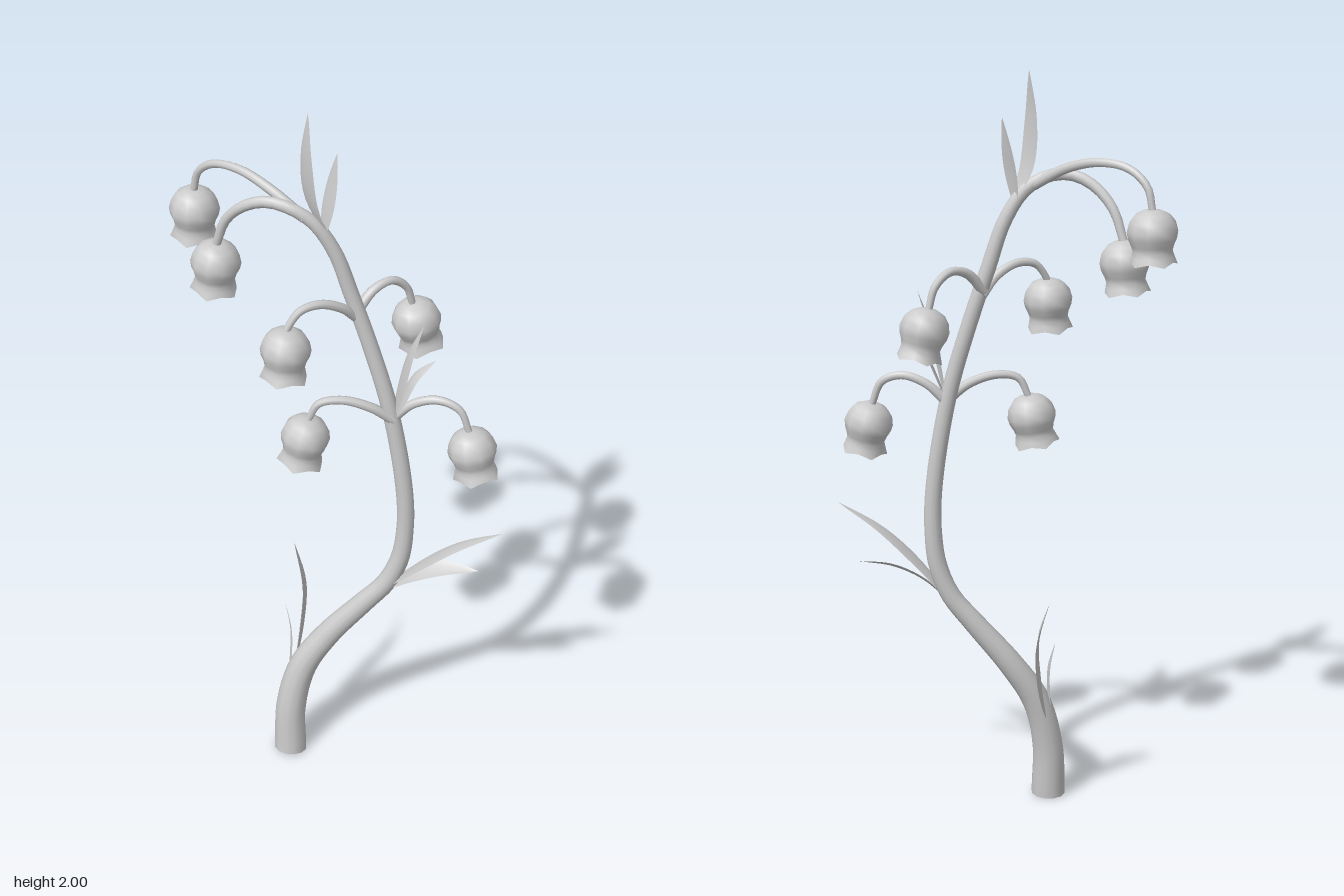
import * as THREE from 'three';
import { mergeGeometries, mergeVertices } from 'three/addons/utils/BufferGeometryUtils.js';

const material = new THREE.MeshStandardMaterial({ color: 0xcccccc, side: THREE.DoubleSide });
const V = (p) => new THREE.Vector3(...p);
const curveOf = (points) => new THREE.CatmullRomCurve3(points.map(V), false, 'centripetal');

function addMesh(parent, name, geometry) {
  const mesh = new THREE.Mesh(geometry, material);
  mesh.name = name;
  parent.add(mesh);
  return mesh;
}

// Linear interpolation through [t, value] stops
function sample(stops, t) {
  let i = 1;
  while (i < stops.length - 1 && t > stops[i][0]) i++;
  const [t0, a] = stops[i - 1], [t1, b] = stops[i];
  return THREE.MathUtils.mapLinear(t, t0, t1, a, b);
}

// Tube whose radius follows the stops; zScale flattens its section
function taperedTube(points, stops, segments, sides, zScale = 1) {
  const curve = curveOf(points);
  const geometry = new THREE.TubeGeometry(curve, segments, 1, sides);
  const pos = geometry.attributes.position, v = new THREE.Vector3();
  for (let i = 0; i < pos.count; i++) {
    const t = Math.floor(i / (sides + 1)) / segments;
    const c = curve.getPointAt(t);
    v.fromBufferAttribute(pos, i).sub(c).multiplyScalar(sample(stops, t));
    v.z *= zScale;
    v.add(c);
    pos.setXYZ(i, v.x, v.y, v.z);
  }
  return geometry;
}

// Pointed blade: three vertices across, swept along a curve, slightly cupped
function leafGeometry(points, across, width) {
  const curve = curveOf(points), rows = 14, pos = [], index = [];
  const side = V(across).normalize();
  for (let i = 0; i <= rows; i++) {
    const t = i / rows, c = curve.getPointAt(t);
    const half = 0.5 * width * Math.pow(Math.sin(Math.PI * Math.pow(t, 0.85)), 0.9) + 0.004 * (1 - t);
    const cup = curve.getTangentAt(t).cross(side).normalize().multiplyScalar(half * 0.2);
    for (const s of [-1, 0, 1]) {
      const p = c.clone().addScaledVector(side, s * half);
      if (s !== 0) p.add(cup);
      pos.push(p.x, p.y, p.z);
    }
    if (i < rows) {
      for (let k = 0; k < 2; k++) {
        const a = i * 3 + k;
        index.push(a, a + 1, a + 3, a + 1, a + 4, a + 3);
      }
    }
  }
  const geometry = new THREE.BufferGeometry();
  geometry.setAttribute('position', new THREE.Float32BufferAttribute(pos, 3));
  geometry.setIndex(index);
  geometry.computeVertexNormals();
  return geometry;
}

// Ten-sided turned surface whose lower rim waves into five soft points, welded smooth
function wavyLathe(profile) {
  const lathe = new THREE.LatheGeometry(profile.map(([x, y]) => new THREE.Vector2(x, y)), 10);
  lathe.deleteAttribute('normal');
  lathe.deleteAttribute('uv');
  const geometry = mergeVertices(lathe, 1e-5);
  const pos = geometry.attributes.position;
  for (let i = 0; i < pos.count; i++) {
    const x = pos.getX(i), y = pos.getY(i), z = pos.getZ(i);
    const flare = Math.max(0, (-0.1 - y) / 0.03) * Math.min(1, Math.hypot(x, z) / 0.05);
    const wave = Math.cos(5 * Math.atan2(x, z)) * flare;
    pos.setXYZ(i, x * (1 + 0.06 * wave), y - 0.004 * wave, z * (1 + 0.06 * wave));
  }
  geometry.computeVertexNormals();
  return geometry;
}

// Hanging bell, top at the origin, closed below by a flat floor
function bellGeometry() {
  const rim = [0.059, -0.13];
  const body = wavyLathe([rim, [0.054, -0.114], [0.05, -0.101], [0.053, -0.088], [0.061, -0.07],
    [0.064, -0.052], [0.058, -0.028], [0.044, -0.01], [0.024, 0], [0, 0.002]]);
  return mergeGeometries([body, wavyLathe([[0, -0.128], rim])]);
}

export function createModel() {
  const model = new THREE.Group();
  model.name = 'bellFlowerSprig';

  // Main stem, curling over into the lowest of the two tip flowers
  const stem = [[-0.103, 0, 0.112], [-0.103, 0.15, 0.1], [-0.074, 0.29, 0.077], [-0.01, 0.4, 0.05],
    [0.085, 0.52, 0.025], [0.147, 0.6, 0.012], [0.181, 0.69, 0.004], [0.191, 0.79, 0], [0.19, 0.87, 0],
    [0.175, 1.0, 0], [0.14, 1.18, 0], [0.09, 1.35, 0], [0.04, 1.5, 0.004], [0, 1.62, 0.013], [-0.05, 1.7, 0.025],
    [-0.11, 1.737, 0.034], [-0.17, 1.742, 0.032], [-0.23, 1.715, 0.027], [-0.28, 1.66, 0.015], [-0.307, 1.585, 0.007]];
  addMesh(model, 'stem', taperedTube(stem,
    [[0, 0.047], [0.13, 0.039], [0.3, 0.027], [0.4, 0.024], [0.75, 0.02], [0.88, 0.016], [1, 0.011]], 80, 12, 0.85));
  const base = addMesh(model, 'stemBase', new THREE.CircleGeometry(0.047, 12));
  base.rotation.x = Math.PI / 2;
  base.position.set(-0.103, 0.001, 0.112);
  base.scale.y = 0.85;

  // Flower stalks; the last point is where the bell hangs, lean is its tilt in x and z
  const flowers = [
    { lean: [-0.003, 0], path: [[-0.07, 1.712, 0.03], [-0.16, 1.762, 0.008], [-0.25, 1.785, -0.025],
      [-0.33, 1.775, -0.052], [-0.377, 1.735, -0.068], [-0.391, 1.68, -0.073]] },
    { lean: [-0.01, 0], path: [stem.at(-1)] },
    { lean: [-0.004, 0.012], path: [[0.055, 1.43, 0], [0.025, 1.475, 0.035], [-0.02, 1.502, 0.075],
      [-0.06, 1.495, 0.108], [-0.083, 1.46, 0.128], [-0.087, 1.449, 0.132]] },
    { lean: [0.025, -0.018], path: [[0.05, 1.44, 0], [0.085, 1.493, -0.04], [0.12, 1.503, -0.08],
      [0.15, 1.47, -0.112], [0.163, 1.416, -0.125]] },
    { lean: [-0.02, 0.01], path: [[0.155, 1.14, 0.005], [0.1, 1.185, 0.03], [0.03, 1.208, 0.052],
      [-0.025, 1.198, 0.07], [-0.05, 1.149, 0.077]] },
    { lean: [0.027, 0.006], path: [[0.15, 1.14, 0], [0.2, 1.188, -0.01], [0.265, 1.21, -0.015],
      [0.321, 1.19, -0.017], [0.348, 1.128, -0.017]] },
  ];
  const bell = bellGeometry();
  flowers.forEach(({ lean, path }) => {
    if (path.length > 1) addMesh(model, 'flowerStalk', taperedTube(path, [[0, 0.014], [1, 0.009]], 24, 8));
    const flower = addMesh(model, 'bellFlower', bell);
    flower.position.copy(V(path.at(-1)));
    flower.quaternion.setFromUnitVectors(V([0, -1, 0]), V([lean[0], -0.13, lean[1]]).normalize());
  });

  // Leaves in pairs: tip, middle, bend and foot of the stem
  const leaves = [
    [[[-0.02, 1.66, 0.018], [-0.058, 1.76, 0.032], [-0.066, 1.88, 0.039], [-0.058, 2.0, 0.035]], [1, 0, 0.8], 0.053],
    [[[-0.03, 1.66, 0.018], [-0.022, 1.73, 0.014], [-0.01, 1.81, 0.006], [0.003, 1.885, 0]], [1, 0, 0.8], 0.044],
    [[[0.15, 1.14, 0], [0.168, 1.24, 0.005], [0.19, 1.34, 0.002], [0.225, 1.435, -0.005]], [0.6, 0, 1], 0.048],
    [[[0.15, 1.14, 0], [0.175, 1.21, 0], [0.205, 1.275, -0.01], [0.253, 1.32, -0.03]], [0.4, -0.2, 1], 0.045],
    [[[0.15, 0.59, 0.015], [0.24, 0.69, 0.018], [0.34, 0.775, 0.017], [0.458, 0.84, 0.012]], [0, 0, 1], 0.053],
    [[[0.15, 0.58, 0.012], [0.22, 0.638, 0.008], [0.3, 0.672, 0.002], [0.395, 0.682, -0.005]], [0, 0.5, -1], 0.05],
    [[[-0.108, 0.25, 0.055], [-0.101, 0.38, 0.015], [-0.103, 0.5, -0.02], [-0.136, 0.62, -0.05]], [0.1, 0.3, 1], 0.06],
    [[[-0.118, 0.24, 0.075], [-0.115, 0.33, 0.064], [-0.118, 0.4, 0.052], [-0.135, 0.477, 0.04]], [0.4, 0.1, 0.8], 0.026],
  ];
  for (const [points, across, width] of leaves) addMesh(model, 'leaf', leafGeometry(points, across, width));

  return model;
}
